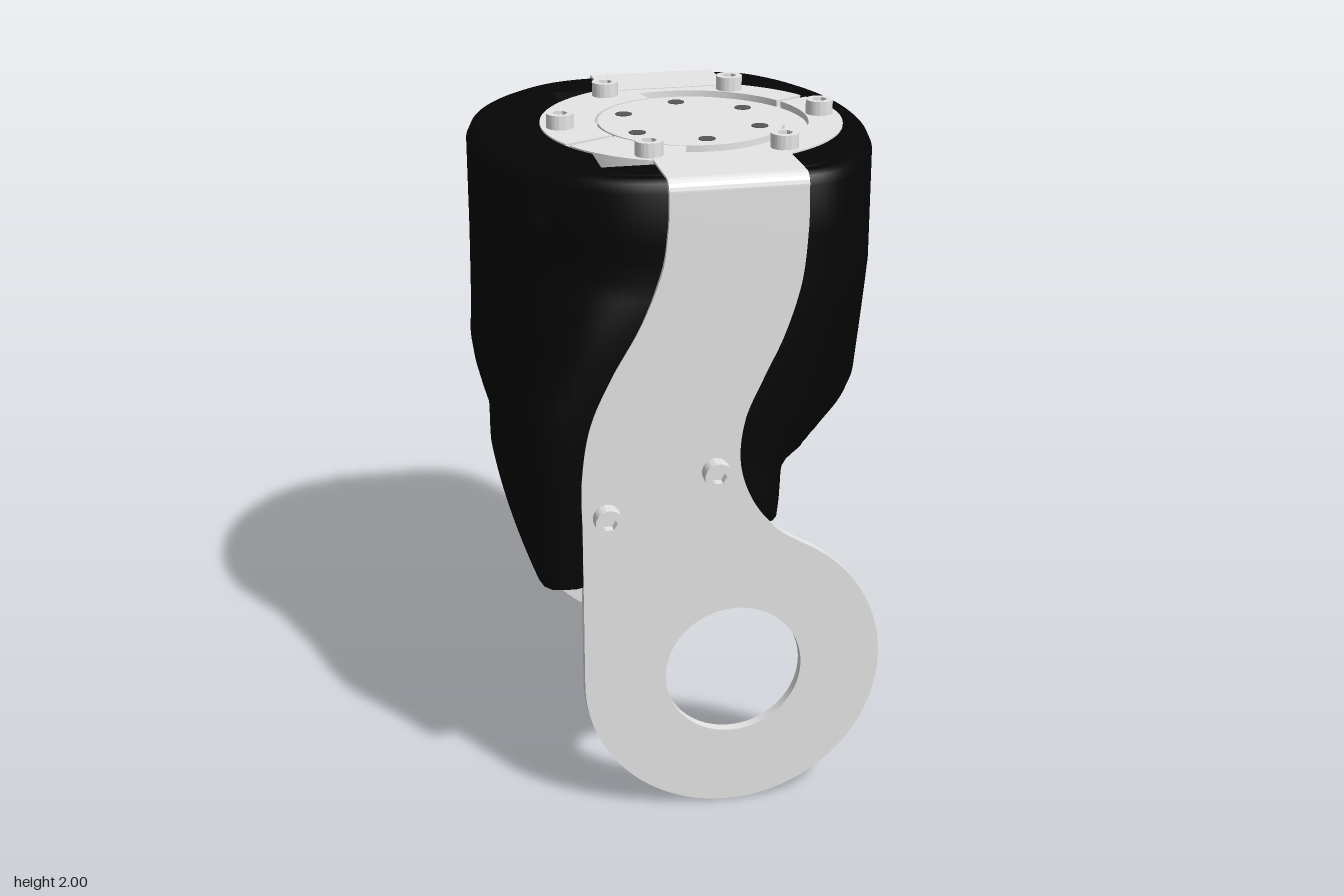
import * as THREE from 'three';
import { toCreasedNormals } from 'three/addons/utils/BufferGeometryUtils.js';

const metal = new THREE.MeshStandardMaterial({ color: 0xe6e6e6, side: THREE.DoubleSide });
metal.name = 'light metal';
const black = new THREE.MeshStandardMaterial({ color: 0x050505, side: THREE.DoubleSide });
black.name = 'black plastic';
const dark = new THREE.MeshStandardMaterial({ color: 0x565656 });
dark.name = 'dark hole';

const CX = 0.075, HUB_Y = 0.45, TOP = 1.955, RAD = Math.PI / 180;

function mesh(parent, name, geometry, material, x = 0, y = 0, z = 0) {
  const m = new THREE.Mesh(geometry, material);
  m.name = name;
  m.position.set(x, y, z);
  parent.add(m);
  return m;
}
function extrude(shape, depth) {
  const g = new THREE.ExtrudeGeometry(shape, { depth, bevelEnabled: false, curveSegments: 48 });
  return toCreasedNormals(g, 0.5);
}
// Extrudes a plan drawn in x, z downward from y = 0
const slab = (shape, depth) => extrude(shape, depth).rotateX(Math.PI / 2);
const circle = (Type, x, y, r) => new Type().absarc(x, y, r, 0, Math.PI * 2, false);
function ring(outer, inner) {
  const s = circle(THREE.Shape, 0, 0, outer);
  s.holes.push(circle(THREE.Path, 0, 0, inner));
  return s;
}
function around(count, radius, start, fn) {
  for (let i = 0; i < count; i++) {
    const a = start + i * Math.PI * 2 / count;
    fn(radius * Math.cos(a), radius * Math.sin(a), i);
  }
}
// Piecewise linear lookup
function lookup(table, v) {
  if (v <= table[0][0]) return table[0][1];
  for (let i = 1; i < table.length; i++) {
    const [x0, y0] = table[i - 1], [x1, y1] = table[i];
    if (v <= x1) return y0 + (y1 - y0) * (v - x0) / (x1 - x0);
  }
  return table[table.length - 1][1];
}

// Socket head screw pointing along +z
const headShape = circle(THREE.Shape, 0, 0, 0.04);
const hex = [];
around(6, 0.023, 0, (x, y) => hex.push(new THREE.Vector2(x, y)));
headShape.holes.push(new THREE.Path(hex));
const headGeo = extrude(headShape, 0.045);
const floorGeo = new THREE.CylinderGeometry(0.038, 0.038, 0.02, 24).rotateX(Math.PI / 2);
function screw(parent, x, y, z, rx, ry) {
  const g = new THREE.Group();
  g.name = 'screw';
  mesh(g, 'screwHead', headGeo, metal);
  mesh(g, 'screwSocketFloor', floorGeo, metal, 0, 0, 0.008);
  g.position.set(x, y, z);
  g.rotation.set(rx, ry, 0);
  parent.add(g);
}

// Side plate with a curved neck and round lobe
function plateShape() {
  const s = new THREE.Shape();
  const v = (x, y) => new THREE.Vector2(x, y);
  s.moveTo(-0.12, 1.88);
  s.splineThru([v(-0.122, 1.82), v(-0.14, 1.7), v(-0.2, 1.55), v(-0.285, 1.4),
    v(-0.345, 1.26), v(-0.37, 1.1), v(-0.37, 0.95)]);
  s.lineTo(-0.37, HUB_Y);
  s.absarc(CX, HUB_Y, 0.445, Math.PI, Math.PI * 2 + 60 * RAD, false);
  s.splineThru([v(0.2, 0.9), v(0.125, 1.0), v(0.088, 1.12), v(0.1, 1.25), v(0.15, 1.37),
    v(0.21, 1.5), v(0.255, 1.65), v(0.27, 1.8), v(0.27, 1.88)]);
  return s;
}

// Shell plan: a superellipse blended into flat sides, changing with height
const leftHalf = [[0.77, 0.5], [0.9, 0.505], [1.05, 0.53], [1.15, 0.56], [1.25, 0.585]];
const rightHalf = [[0.92, 0.235], [1.0, 0.25], [1.08, 0.31], [1.125, 0.54], [1.16, 0.572], [1.2, 0.585]];
const rightPower = [[0.96, 4], [1.125, 1.45], [1.6, 2.1]];
const leftDepth = [[0.8, 2.2], [1.16, 1.3], [1.4, 0.85], [1.66, 0.64]];
const rightDepth = [[1.15, 0.73], [1.6, 0.72]];
// Height of the lower edge by angle from +x, in degrees
const hem = [[48, 1.13], [54, 1.09], [57.5, 1.02], [60, 0.92], [80, 0.92], [100, 0.86], [122, 0.765]];
const COLS = 144;
function plan(angle, y, inset) {
  const c = Math.cos(angle), s = Math.abs(Math.sin(angle));
  const a = lookup(c < 0 ? leftHalf : rightHalf, y);
  const b = lookup(c < 0 ? leftDepth : rightDepth, y);
  const n = c < 0 ? 2 : lookup(rightPower, y);
  const curve = Math.pow(Math.pow(Math.abs(c) / a, n) + Math.pow(s / b, n), 1 / n);
  const r = Math.pow(Math.pow(curve, 24) + Math.pow(s / 0.607, 24), -1 / 24) - inset;
  return [r * c, r * Math.sin(angle)];
}
function shellWall() {
  const rim = [[1.955, 0.035], [1.946, 0.012], [1.92, 0], [1.78, 0]], steps = 18;
  const R = rim.length + steps, pos = [], index = [];
  for (let k = 0; k < 2 * R; k++) {
    const row = k < R ? k : 2 * R - 1 - k;
    for (let i = 0; i < COLS; i++) {
      const t = i / COLS * Math.PI * 2;
      let [y, inset] = rim[Math.min(row, 3)];
      const low = lookup(hem, Math.min(t, Math.PI * 2 - t) / RAD);
      if (row > 3) y += (low - y) * (row - 3) / steps;
      if (k >= R) inset += 0.04;
      const [x, z] = plan(t, y, inset);
      pos.push(x, y, z);
    }
  }
  for (let k = 0; k < 2 * R - 1; k++) for (let i = 0; i < COLS; i++) {
    // Slots near the top: narrow in front, wider behind and inside
    const m = Math.min(i, COLS - 1 - i), spread = i === m ? 0 : 2;
    if (k === 2 && m >= 54 - spread && m <= 55 + spread) continue;
    if (k === 2 * R - 4 && m >= 51 && m <= 61) continue;
    const j = (i + 1) % COLS, a = k * COLS + i, d = k * COLS + j;
    index.push(a, d, a + COLS, d, d + COLS, a + COLS);
  }
  const g = new THREE.BufferGeometry();
  g.setAttribute('position', new THREE.Float32BufferAttribute(pos, 3));
  g.setIndex(index);
  return toCreasedNormals(g, 0.8);
}

export function createModel() {
  const model = new THREE.Group();
  model.name = 'jointBracket';

  // Black cover, its lid opened under the disc and beside it
  mesh(model, 'coverWall', shellWall(), black);
  const lid = new THREE.Shape(Array.from({ length: COLS }, (_, i) =>
    new THREE.Vector2(...plan(i / COLS * Math.PI * 2, 1.955, 0.034))));
  const gap = new THREE.Path();
  gap.moveTo(-0.27, -0.42);
  gap.lineTo(-0.08, -0.42);
  gap.absarc(CX, 0, 0.444, -108.9 * RAD, 108.9 * RAD, false);
  gap.lineTo(-0.27, 0.42);
  gap.absarc(CX, 0, 0.444, 141 * RAD, 219 * RAD, false);
  lid.holes.push(gap);
  mesh(model, 'coverLid', slab(lid, 0.045), black, 0, 1.953, 0);

  // Side plates
  const front = plateShape();
  front.holes.push(circle(THREE.Path, CX, HUB_Y, 0.205));
  mesh(model, 'frontPlate', extrude(front, 0.03), metal, 0, 0, 0.58);
  const back = plateShape();
  back.holes.push(circle(THREE.Path, CX, HUB_Y, 0.137));
  around(12, 0.21, 0, (x, y) => back.holes.push(circle(THREE.Path, CX + x, HUB_Y + y, 0.047)));
  mesh(model, 'backPlate', extrude(back, 0.03), metal, 0, 0, -0.61);

  // Bent straps joining the plates to the top disc
  const bend = new THREE.Shape();
  bend.moveTo(0.38, 1.915);
  bend.lineTo(0.56, 1.915);
  bend.absarc(0.56, 1.895, 0.02, Math.PI / 2, 0, true);
  bend.lineTo(0.58, 1.88);
  bend.lineTo(0.61, 1.88);
  bend.lineTo(0.61, 1.925);
  bend.absarc(0.575, 1.925, 0.035, 0, Math.PI / 2, false);
  bend.lineTo(0.38, 1.96);
  const bendGeo = extrude(bend, 0.39).rotateY(-Math.PI / 2);
  mesh(model, 'frontStrap', bendGeo, metal, 0.27, 0, 0);
  mesh(model, 'backStrap', bendGeo, metal, -0.12, 0, 0).rotation.y = Math.PI;

  // Top disc with an open groove and two side slots
  const disc = new THREE.Group();
  disc.name = 'topDisc';
  disc.position.set(CX, 0, 0);
  model.add(disc);
  mesh(disc, 'discBase', new THREE.CylinderGeometry(0.445, 0.445, 0.04, 96), metal, 0, 1.918, 0);
  mesh(disc, 'discCentre', new THREE.CylinderGeometry(0.275, 0.275, 0.03, 96), metal, 0, 1.942, 0);
  for (const [inner, a0, a1] of [[0.345, -25.5, 105], [0.283, 105, 152.5],
    [0.283, 155.5, 255], [0.345, 255, 331.5]]) {
    const s = new THREE.Shape();
    s.absarc(0, 0, 0.445, a0 * RAD, a1 * RAD, false);
    s.absarc(0, 0, inner, a1 * RAD, a0 * RAD, true);
    mesh(disc, 'discRim', slab(s, 0.03), metal, 0, 1.958, 0);
  }
  around(6, 0.21, Math.PI / 6, (x, z) =>
    mesh(disc, 'discHole', new THREE.CylinderGeometry(0.025, 0.025, 0.004, 20), dark, x, 1.957, z));
  around(6, 0.39, 0, (x, z) => screw(disc, x, TOP, z, -Math.PI / 2, 0));

  // Cross rods with a screw at each end
  for (const [x, y] of [[0.015, 1.1], [-0.3, 0.985]]) {
    const rod = new THREE.CylinderGeometry(0.06, 0.06, 1.16, 32).rotateX(Math.PI / 2);
    mesh(model, 'crossRod', rod, metal, x, y, 0);
    screw(model, x, y, 0.61, 0, 0);
    screw(model, x, y, -0.61, 0, Math.PI);
  }

  // Bearing flange inside the back plate
  const hub = new THREE.Group();
  hub.name = 'backFlange';
  hub.position.set(CX, HUB_Y, 0);
  model.add(hub);
  mesh(hub, 'flangeBody', extrude(ring(0.33, 0.137), 0.065), metal, 0, 0, -0.58);
  mesh(hub, 'flangeStep', extrude(ring(0.27, 0.137), 0.022), metal, 0, 0, -0.515);
  mesh(hub, 'flangeTab', new THREE.BoxGeometry(0.09, 0.06, 0.03), metal, 0, 0.295, -0.502);
  around(12, 0.21, 0, (x, y, i) => {
    const pin = i % 2 === 1;
    screw(hub, x, y, pin ? -0.555 : -0.61, 0, Math.PI);
    mesh(hub, pin ? 'flangePin' : 'flangePlug',
      new THREE.CylinderGeometry(0.024, 0.024, pin ? 0.07 : 0.008, 20).rotateX(Math.PI / 2),
      metal, x, y, pin ? -0.465 : -0.491);
  });
  return model;
}
